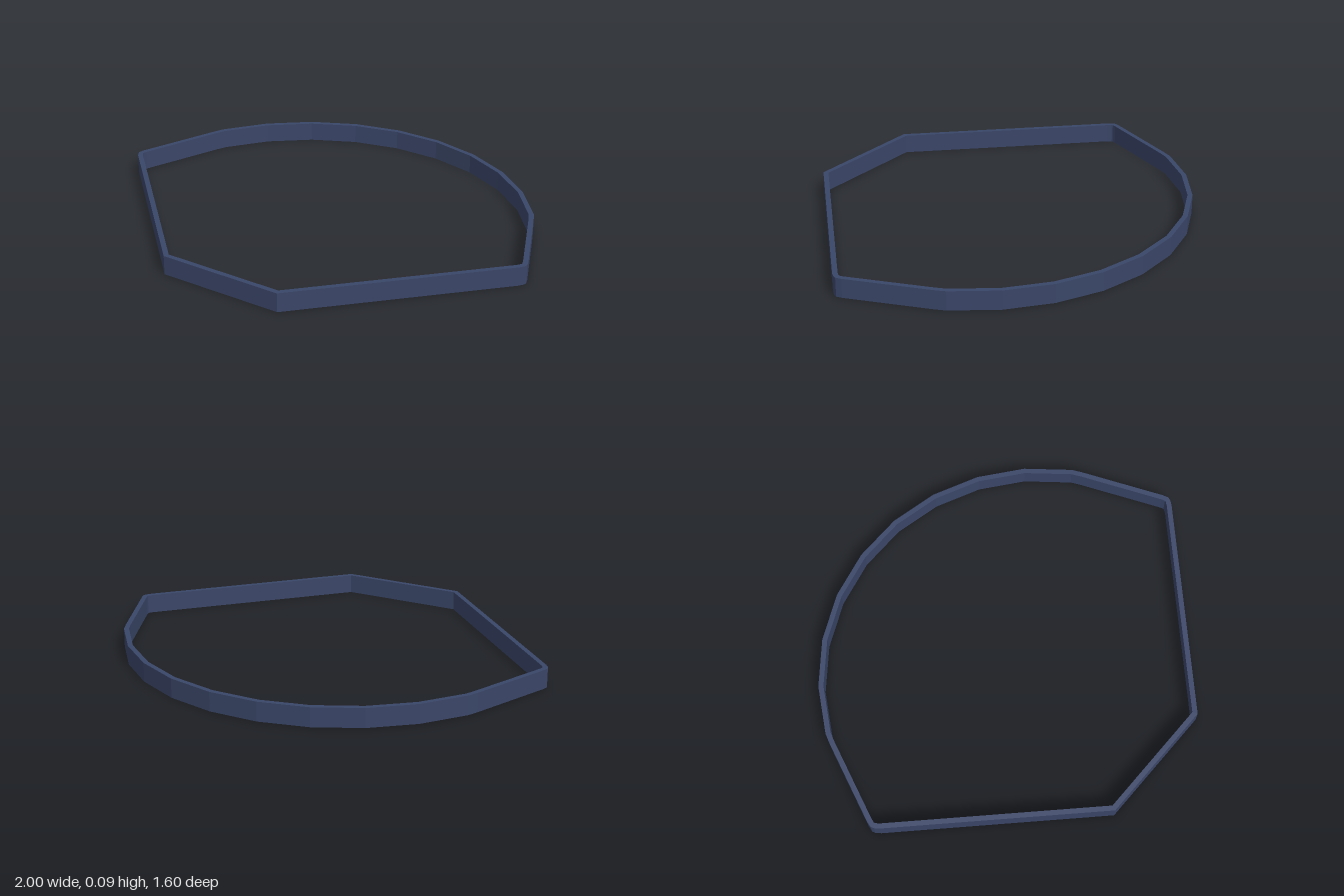
import * as THREE from 'three';

const HEIGHT = 0.085, WALL = 0.022;

// Right half of the outline (x, z), from the back arc round to the front edge
function halfOutline() {
  const pts = [];
  const radius = 0.977, centreZ = 0.171, end = 1.003, steps = 9;
  for (let i = 5; i <= steps; i++) {
    const a = -end + (2 * end * i) / steps;
    pts.push(new THREE.Vector2(radius * Math.sin(a), centreZ - radius * Math.cos(a)));
  }
  // straight flank, rounded side corner, then the front diagonal
  for (const [x, z] of [[0.845, -0.31], [0.993, 0.04], [1, 0.065], [0.995, 0.08], [0.98, 0.1], [0.28, 0.8]])
    pts.push(new THREE.Vector2(x, z));
  return pts;
}

// Mitred inward offset of a closed outline running clockwise in top view
function inset(pts, d) {
  const n = pts.length;
  return pts.map((p, i) => {
    const a = p.clone().sub(pts[(i + n - 1) % n]).normalize();
    const b = pts[(i + 1) % n].clone().sub(p).normalize();
    const na = new THREE.Vector2(-a.y, a.x), nb = new THREE.Vector2(-b.y, b.x);
    const miter = na.clone().add(nb);
    return p.clone().addScaledVector(miter, d / (1 + na.dot(nb)));
  });
}

export function createModel() {
  const group = new THREE.Group();
  group.name = 'bandFrame';

  const half = halfOutline();
  const mirrored = half.map(p => new THREE.Vector2(-p.x, p.y)).reverse();
  const outline = [...half, ...mirrored];

  // Thin upright band: outline with an inset hole, extruded to its height
  const shape = new THREE.Shape(outline);
  shape.holes.push(new THREE.Path(inset(outline, WALL)));
  const geometry = new THREE.ExtrudeGeometry(shape, { depth: HEIGHT, bevelEnabled: false });
  geometry.rotateX(Math.PI / 2).translate(0, HEIGHT, 0);

  const band = new THREE.Mesh(geometry, new THREE.MeshStandardMaterial({ color: 0x3a4668 }));
  band.name = 'band';
  group.add(band);
  return group;
}
